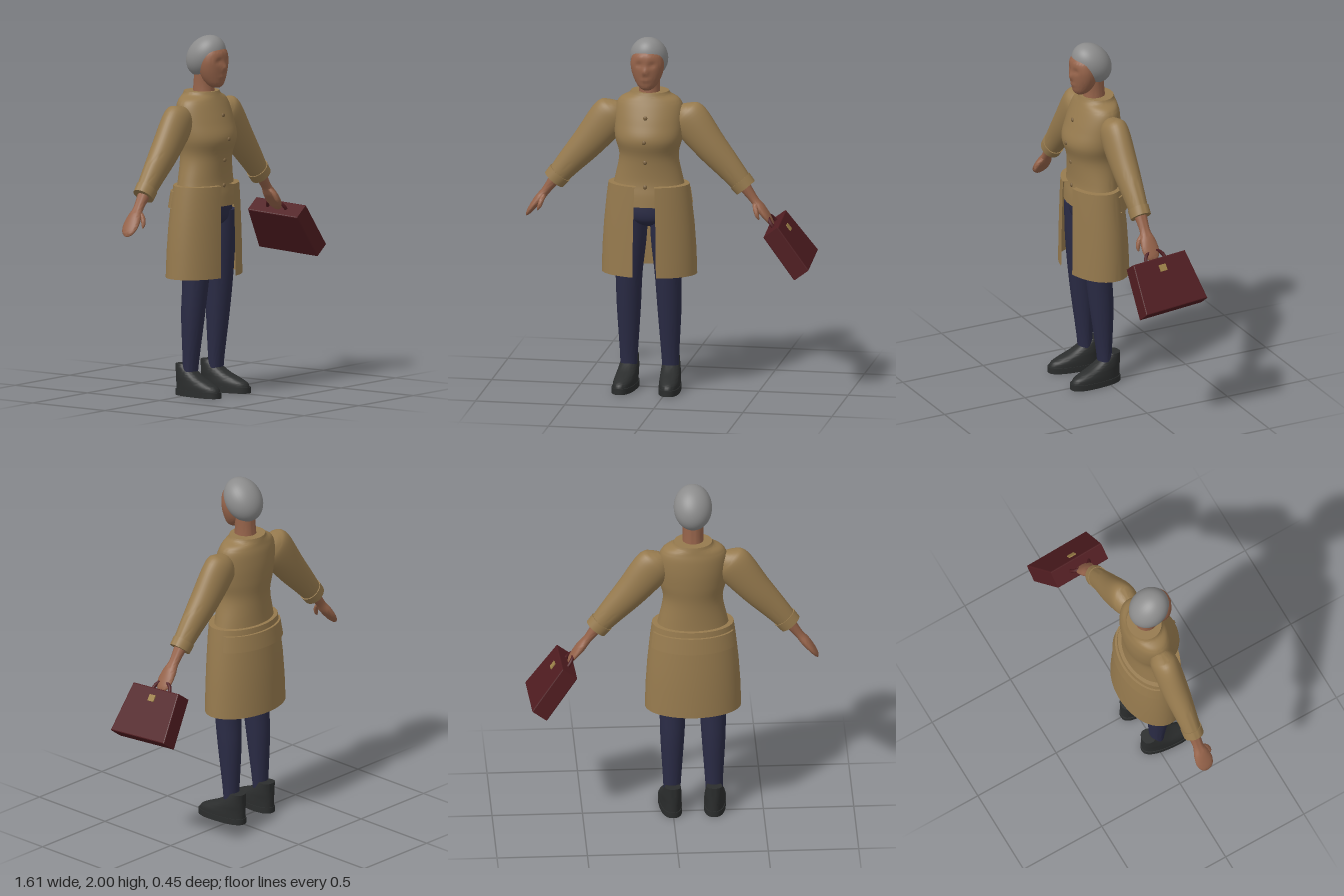
import * as THREE from 'three';
import { toCreasedNormals } from 'three/addons/utils/BufferGeometryUtils.js';

const mat = (name, color, side = THREE.FrontSide) => {
  const m = new THREE.MeshStandardMaterial({ color, side });
  m.name = name;
  return m;
};

// Catmull-Rom refinement of a list of sections
function refine(rows, n) {
  const out = [], at = i => rows[Math.min(Math.max(i, 0), rows.length - 1)];
  for (let i = 0; i < rows.length - 1; i++) {
    for (let k = 0; k < n; k++) {
      const t = k / n;
      out.push(at(i).map((p1, c) => {
        const p0 = at(i - 1)[c], p2 = at(i + 1)[c], p3 = at(i + 2)[c];
        return p1 + 0.5 * t * (p2 - p0 + t * (2 * p0 - 5 * p1 + 4 * p2 - p3 + t * (3 * (p1 - p2) + p3 - p0)));
      }));
    }
  }
  out.push(at(rows.length - 1));
  return out;
}

// Tube of elliptical rings; each section is [x, y, z, radius across, radius in z].
// from/span leave an opening in the ring, power < 1 makes the ring squarer.
function loft(rows, { n = 5, sides = 40, from = 0, span = Math.PI * 2, power = 1, crease = 0.8, shape } = {}) {
  const s = n > 1 ? refine(rows, n) : rows;
  const closed = span > 6.28, cols = closed ? sides : sides + 1;
  const pos = [], idx = [];
  const bend = v => Math.sign(v) * Math.abs(v) ** power;
  s.forEach(([x, y, z, ra, rb], i) => {
    const a = s[Math.max(i - 1, 0)], b = s[Math.min(i + 1, s.length - 1)];
    const len = Math.hypot(b[0] - a[0], b[1] - a[1]) || 1;
    const ux = (b[1] - a[1]) / len, uy = -(b[0] - a[0]) / len;
    for (let j = 0; j < cols; j++) {
      const t = from + span * j / sides, c = bend(Math.cos(t)) * ra;
      const p = [x + ux * c, y + uy * c, z + bend(Math.sin(t)) * rb];
      if (shape) shape(p);
      pos.push(...p);
    }
  });
  for (let i = 0; i < s.length - 1; i++) {
    for (let j = 0; j < sides; j++) {
      const k = (j + 1) % cols, a = i * cols;
      idx.push(a + j, a + cols + j, a + k, a + k, a + cols + j, a + cols + k);
    }
  }
  if (closed) {
    const e = s.length - 1, c0 = s.length * cols;
    pos.push(...s[0].slice(0, 3), ...s[e].slice(0, 3));
    for (let j = 0; j < sides; j++) {
      const k = (j + 1) % sides;
      idx.push(c0, j, k, c0 + 1, e * cols + k, e * cols + j);
    }
  }
  const g = new THREE.BufferGeometry();
  g.setAttribute('position', new THREE.Float32BufferAttribute(pos, 3));
  g.setIndex(idx);
  return toCreasedNormals(g, crease);
}

// Section given by height, half width, front z and back z
const sec = (y, rx, zf, zb, x = 0) => [x, y, (zf + zb) / 2, rx, (zf - zb) / 2];

export function createModel() {
  const root = new THREE.Group();
  const coat = mat('coat tan', 0x967a4e, THREE.DoubleSide);
  const buttonMat = mat('button brown', 0x7c6340);
  const skin = mat('skin brown', 0x95634a);
  const hairMat = mat('hair grey', 0x8c8c8c);
  const navy = mat('trouser navy', 0x2a2b45);
  const shoeMat = mat('shoe black', 0x2b2d2d);
  const leather = mat('case maroon', 0x4f1c20);
  const brass = mat('clasp brass', 0x9c8048);

  const body = new THREE.Group();
  body.name = 'body';
  body.position.x = -0.112;
  root.add(body);
  const add = (name, geo, m, parent = body) => {
    const mesh = new THREE.Mesh(geo, m);
    mesh.name = name;
    parent.add(mesh);
    return mesh;
  };

  // Head: face with nose, lips and eye sockets, then hair and neck
  const bump = (p, x, y, sx, sy, d) => {
    if (p[2] > 0.1) p[2] += d * Math.exp(-(((p[0] - x) / sx) ** 2) - ((p[1] - y) / sy) ** 2);
  };
  add('face', loft([
    sec(1.712, 0.022, 0.12, 0.07), sec(1.73, 0.047, 0.138, 0.045), sec(1.77, 0.072, 0.147, 0.015),
    sec(1.82, 0.089, 0.153, 0.005), sec(1.87, 0.092, 0.156, 0.005), sec(1.92, 0.077, 0.146, 0.005),
    sec(1.955, 0.03, 0.1, 0.04),
  ], {
    sides: 56, crease: 1.2, shape: p => {
      bump(p, 0, 1.823, 0.016, 0.022, 0.014);
      bump(p, 0, 1.775, 0.025, 0.01, 0.006);
      for (const s of [-1, 1]) bump(p, s * 0.036, 1.862, 0.02, 0.016, -0.01);
    },
  }), skin);
  const hair = add('hair', new THREE.SphereGeometry(1, 40, 28), hairMat);
  hair.scale.set(0.106, 0.13, 0.1);
  hair.position.set(0, 1.881, 0.028);
  hair.rotation.x = 0.7;
  add('neck', loft([sec(1.64, 0.062, 0.08, -0.055), sec(1.72, 0.057, 0.072, -0.046), sec(1.8, 0.058, 0.08, -0.04)]), skin);

  // Coat: bodice, open-fronted skirt and half belt at the back
  add('coatBodice', loft([
    sec(1.055, 0.21, 0.165, -0.11), sec(1.12, 0.208, 0.16, -0.108), sec(1.2, 0.19, 0.15, -0.103),
    sec(1.33, 0.165, 0.16, -0.103), sec(1.43, 0.187, 0.187, -0.115), sec(1.52, 0.193, 0.16, -0.12),
    sec(1.6, 0.188, 0.128, -0.115), sec(1.645, 0.165, 0.108, -0.105), sec(1.67, 0.118, 0.097, -0.1),
    sec(1.688, 0.105, 0.09, -0.096),
  ], { sides: 56 }), coat);
  const gap = 0.25, front = Math.PI / 2;
  add('coatSkirt', loft([
    sec(0.66, 0.266, 0.187, -0.16), sec(0.8, 0.262, 0.186, -0.155), sec(0.95, 0.252, 0.184, -0.146),
    sec(1.1, 0.236, 0.182, -0.13), sec(1.172, 0.226, 0.18, -0.122), sec(1.175, 0.18, 0.13, -0.09),
  ], { n: 1, sides: 64, from: front + gap, span: Math.PI * 2 - gap * 2 }), coat);
  add('backBelt', loft([
    sec(1.049, 0.23, 0.17, -0.12), sec(1.05, 0.25, 0.19, -0.152),
    sec(1.14, 0.238, 0.19, -0.138), sec(1.141, 0.22, 0.17, -0.11),
  ], { n: 1, sides: 36, from: Math.PI + 0.36, span: Math.PI - 0.72 }), coat);
  for (const [y, z] of [[1.56, 0.147], [1.43, 0.187], [1.31, 0.157], [1.17, 0.153]]) {
    const b = add('button', new THREE.SphereGeometry(0.012, 14, 10), buttonMat);
    b.position.set(0, y, z);
    b.scale.z = 0.6;
  }

  // Trousers
  add('trouserSeat', loft([
    sec(0.93, 0.03, 0.07, -0.03), sec(0.955, 0.13, 0.12, -0.07), sec(1.0, 0.19, 0.14, -0.095), sec(1.1, 0.18, 0.135, -0.09),
  ]), navy);

  for (const s of [-1, 1]) {
    const side = s > 0 ? 'left' : 'right';
    const mirror = rows => rows.map(([x, ...r]) => [s * x, ...r]);

    add(side + 'Leg', loft(mirror([
      sec(0.1, 0.046, 0.045, -0.03, 0.118), sec(0.2, 0.05, 0.055, -0.033, 0.116), sec(0.45, 0.066, 0.09, -0.042, 0.114),
      sec(0.66, 0.075, 0.115, -0.035, 0.11), sec(0.85, 0.09, 0.13, -0.055, 0.104), sec(1.02, 0.095, 0.135, -0.08, 0.1),
    ])), navy);

    // Shoe: upper narrowing towards the ankle on a flat sole
    const shoe = new THREE.Group();
    shoe.name = side + 'Shoe';
    shoe.position.x = s * 0.118;
    shoe.rotation.y = s * 0.09;
    body.add(shoe);
    add('shoeUpper', loft([
      sec(0.03, 0.058, 0.22, -0.083), sec(0.055, 0.058, 0.208, -0.083), sec(0.08, 0.056, 0.16, -0.083),
      sec(0.105, 0.054, 0.1, -0.083), sec(0.135, 0.05, 0.05, -0.083), sec(0.175, 0.044, -0.005, -0.083),
    ], { power: 0.88 }), shoeMat, shoe);
    add('shoeSole', loft([sec(0, 0.061, 0.226, -0.086), sec(0.033, 0.061, 0.226, -0.086)],
      { n: 1, power: 0.8 }), shoeMat, shoe);

    // Sleeve with turned cuff
    add(side + 'Sleeve', loft(mirror([
      [0.165, 1.6, 0, 0.03, 0.03], [0.185, 1.575, 0, 0.078, 0.06], [0.225, 1.53, 0, 0.108, 0.076],
      [0.34, 1.385, 0, 0.092, 0.073], [0.45, 1.26, 0, 0.073, 0.06], [0.53, 1.165, 0, 0.058, 0.05],
    ])), coat);
    add(side + 'Cuff', loft(mirror([[0.505, 1.195, 0, 0.068, 0.058], [0.538, 1.155, 0, 0.064, 0.057]]), { n: 1 }), coat);

    // Hand with thumb
    add(side + 'Hand', loft(mirror([
      [0.53, 1.165, 0, 0.034, 0.036], [0.585, 1.09, 0, 0.024, 0.03], [0.62, 1.045, 0, 0.026, 0.044],
      [0.655, 1.0, 0, 0.02, 0.05], [0.68, 0.965, 0, 0.013, 0.037], [0.69, 0.947, 0, 0.004, 0.014],
    ]), { sides: 24 }), skin);
    add(side + 'Thumb', loft(mirror([
      [0.59, 1.075, 0.018, 0.012, 0.014], [0.6, 1.045, 0.044, 0.014, 0.014],
      [0.612, 1.01, 0.056, 0.011, 0.011], [0.622, 0.99, 0.058, 0.003, 0.003],
    ]), { sides: 16 }), skin);
  }

  // Briefcase hanging from the left hand
  const tilt = new THREE.Group();
  tilt.name = 'briefcase';
  tilt.position.set(0.672, 0.838, -0.02);
  tilt.rotation.z = 0.64;
  root.add(tilt);
  const bag = new THREE.Group();
  bag.name = 'briefcaseParts';
  bag.rotation.x = 0.075;
  tilt.add(bag);
  const panel = new THREE.Shape([[-0.189, -0.14], [0.189, -0.14], [0.16, 0.14], [-0.16, 0.14]].map(p => new THREE.Vector2(...p)));
  const caseGeo = new THREE.ExtrudeGeometry(panel, { depth: 0.092, bevelSize: 0.006, bevelThickness: 0.006, bevelSegments: 2 });
  caseGeo.translate(0, 0, -0.046).rotateY(-Math.PI / 2);
  add('caseShell', caseGeo, leather, bag);
  const handle = add('caseHandle', new THREE.TorusGeometry(0.06, 0.01, 10, 24, Math.PI), leather, bag);
  handle.rotation.y = Math.PI / 2;
  handle.position.y = 0.142;
  add('clasp', new THREE.BoxGeometry(0.008, 0.038, 0.042), brass, bag).position.set(0.054, 0.085, 0);

  return root;
}
